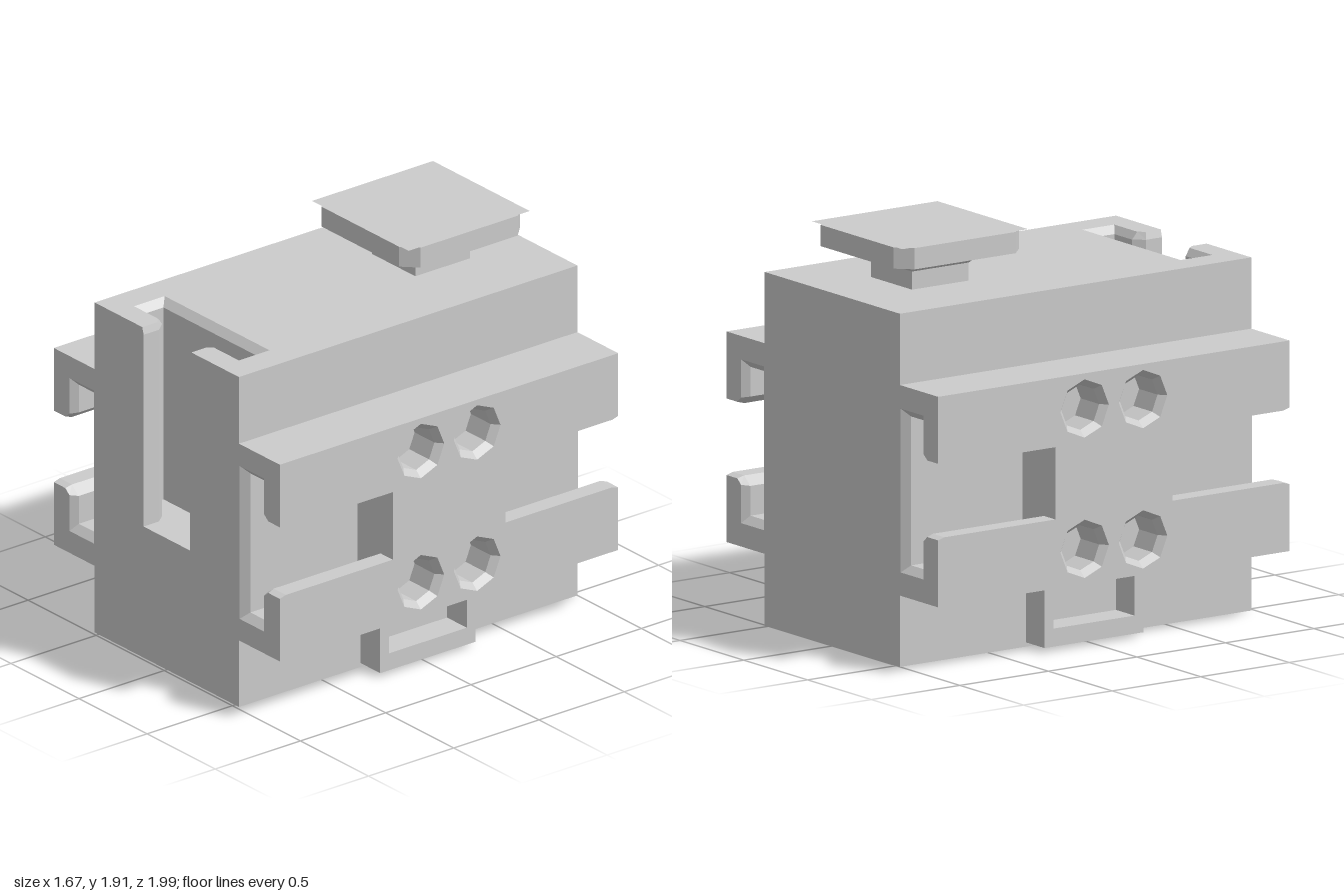
import * as THREE from 'three';

const grey = new THREE.MeshStandardMaterial({ color: 0xcccccc, flatShading: true });
const thin = new THREE.MeshStandardMaterial({ color: 0xcccccc, flatShading: true, side: THREE.DoubleSide });
const X = new THREE.Vector3(1, 0, 0), Y = new THREE.Vector3(0, 1, 0), Z = new THREE.Vector3(0, 0, 1);
const neg = (v) => v.clone().negate();
const CHAMFER = 0.035;
const MID = -0.0075; // middle of the body along z

function add(parent, name, geometry, x = 0, y = 0, z = 0, material = grey) {
  const mesh = new THREE.Mesh(geometry, material);
  mesh.name = name;
  mesh.position.set(x, y, z);
  parent.add(mesh);
  return mesh;
}

// Box given by its limits
function block(parent, name, x0, x1, y0, y1, z0, z1) {
  return add(parent, name, new THREE.BoxGeometry(x1 - x0, y1 - y0, z1 - z0),
    (x0 + x1) / 2, (y0 + y1) / 2, (z0 + z1) / 2);
}

function toShape(points, holes = []) {
  const shape = new THREE.Shape(points.map((p) => new THREE.Vector2(...p)));
  shape.holes = holes.map((h) => new THREE.Path(h.map((p) => new THREE.Vector2(...p))));
  return shape;
}

// Extrusion whose last stretch widens from each loop to its flared partner
function addFlared(parent, name, loops, flared, length, basis, position) {
  const shape = toShape(loops[0], loops.slice(1));
  const from = loops.flat(), to = flared.flat();
  const straight = new THREE.ExtrudeGeometry(shape, { depth: length - CHAMFER, bevelEnabled: false });
  const mouth = new THREE.ExtrudeGeometry(shape, { depth: CHAMFER, bevelEnabled: false });
  const pos = mouth.attributes.position;
  for (let i = 0; i < pos.count; i++) {
    if (pos.getZ(i) < CHAMFER / 2) continue;
    const k = from.findIndex((p) => Math.hypot(p[0] - pos.getX(i), p[1] - pos.getY(i)) < 1e-4);
    if (k >= 0) pos.setXY(i, to[k][0], to[k][1]);
  }
  mouth.translate(0, 0, length - CHAMFER);
  mouth.computeVertexNormals();
  const matrix = new THREE.Matrix4().makeBasis(...basis);
  for (const g of [straight, mouth]) add(parent, name, g.applyMatrix4(matrix), ...position);
}

// Bar with a T-shaped slot; half width along u, 0.3 deep along v
function addSlot(parent, name, half, length, basis, position) {
  const profile = (neck, step, lipV, stepV, wide, backV) => {
    const side = [[half, 0], [half, 0.3], [neck, 0.3], [neck, lipV], [step, stepV], [wide, stepV], [wide, backV]];
    return [...side, ...side.map(([u, v]) => [-u, v]).reverse()];
  };
  addFlared(parent, name, [profile(0.17, 0.21, 0.21, 0.16, 0.35, 0.04)],
    [profile(0.18, 0.205, 0.215, 0.185, 0.385, 0.005)], length, basis, position);
}

// Plate with countersunk eight-sided holes
function addHolePlate(parent, name, rect, centres, depth, basis, position) {
  const [u0, u1, v0, v1] = rect;
  const outline = [[u0, v0], [u1, v0], [u1, v1], [u0, v1]];
  const ring = (r) => centres.map(([u, v]) => Array.from({ length: 8 }, (_, i) =>
    [u + r * Math.cos(i * Math.PI / 4), v + r * Math.sin(i * Math.PI / 4)]));
  addFlared(parent, name, [outline, ...ring(0.107)], [outline, ...ring(0.137)], depth, basis, position);
}

// One side: slotted rails, drilled middle block, socket bracket
function makeSide(name) {
  const side = new THREE.Group();
  side.name = name;
  addSlot(side, 'sideSlotFront', 0.495, 0.6625, [neg(Y), X, Z], [0.53, 0.83, 0.33]);
  addSlot(side, 'sideSlotBack', 0.495, 0.6625, [Y, X, neg(Z)], [0.53, 0.83, -0.33]);
  block(side, 'sideMiddle', 0.53, 0.65, 0.335, 1.325, -0.33, 0.33);
  const holes = [];
  for (const y of [0.5, 1.16]) for (const z of [-0.165, 0.165]) holes.push([y, z]);
  addHolePlate(side, 'sideHolePlate', [0.335, 1.325, -0.33, 0.33], holes, 0.18, [Y, Z, X], [0.65, 0, 0]);

  // U-shaped bracket under the rail, with three contact pins
  const bracket = toShape([[-0.28, 0.02], [0.28, 0.02], [0.28, 0.335], [0.228, 0.335],
    [0.228, 0.105], [-0.228, 0.105], [-0.228, 0.335], [-0.28, 0.335]]);
  const geometry = new THREE.ExtrudeGeometry(bracket, { depth: 0.145, bevelEnabled: false });
  add(side, 'socketBracket', geometry.rotateY(Math.PI / 2), 0.53, 0, 0);
  for (const z of [-0.11, 0, 0.11]) block(side, 'contactPin', 0.53, 0.61, 0.273, 0.297, z - 0.012, z + 0.012);

  // Square labels between the slots
  for (const z of [-0.165, 0.195]) {
    add(side, 'sideLabel', new THREE.PlaneGeometry(0.275, 0.275).rotateY(Math.PI / 2), 0.834, 0.85, z, thin);
  }
  side.position.z = MID;
  return side;
}

export function createModel() {
  const model = new THREE.Group();
  model.name = 'slottedModule';

  // Body with slotted front and drilled base
  block(model, 'body', -0.53, 0.53, 0.17, 1.66, -1, 0.685);
  block(model, 'frontLower', -0.53, 0.53, 0.17, 0.66, 0.685, 0.985);
  addSlot(model, 'frontSlot', 0.53, 1, [neg(X), Z, Y], [0, 0.66, 0.685]);
  const holes = [];
  for (const z of [-0.5, 0.82]) for (const x of [-0.33, 0, 0.33]) holes.push([x, z]);
  addHolePlate(model, 'basePlate', [-0.53, 0.53, -1, 0.985], holes, 0.17, [X, Z, neg(Y)], [0, 0.17, 0]);

  // Matching sides
  const left = makeSide('leftSide');
  const right = makeSide('rightSide');
  right.rotation.y = Math.PI;
  model.add(left, right);

  // Mushroom-shaped connector on top
  const knob = new THREE.Group();
  knob.name = 'topConnector';
  knob.position.z = -0.505;
  block(knob, 'connectorNeck', -0.16, 0.16, 1.66, 1.745, -0.16, 0.16);
  const flare = new THREE.CylinderGeometry(0.228 * Math.SQRT2, 0.16 * Math.SQRT2, 0.065, 4).rotateY(Math.PI / 4);
  add(knob, 'connectorFlare', flare, 0, 1.7775, 0);
  const a = 0.355, b = 0.285;
  const head = toShape([[a, -b], [a, b], [b, a], [-b, a], [-a, b], [-a, -b], [-b, -a], [b, -a]]);
  add(knob, 'connectorHead', new THREE.ExtrudeGeometry(head, { depth: 0.1, bevelEnabled: false })
    .rotateX(-Math.PI / 2), 0, 1.808, 0);
  add(knob, 'connectorCover', new THREE.PlaneGeometry(0.71, 0.71).rotateX(-Math.PI / 2), 0, 1.912, 0, thin);
  model.add(knob);

  // Flat labels: x, z, width, depth, height above the top
  for (const [x, z, w, d, lift] of [[0, 0.383, 0.68, 0.385, 0.003], [-0.135, 0.39, 0.22, 0.22, 0.006],
    [0.05, 0.405, 0.105, 0.22, 0.006], [0.17, 0.405, 0.105, 0.22, 0.006]]) {
    add(model, 'topLabel', new THREE.PlaneGeometry(w, d).rotateX(-Math.PI / 2), x, 1.66 + lift, z, thin);
  }
  add(model, 'frontLabel', new THREE.PlaneGeometry(0.275, 0.275), 0, 0.52, 0.989, thin);
  return model;
}
